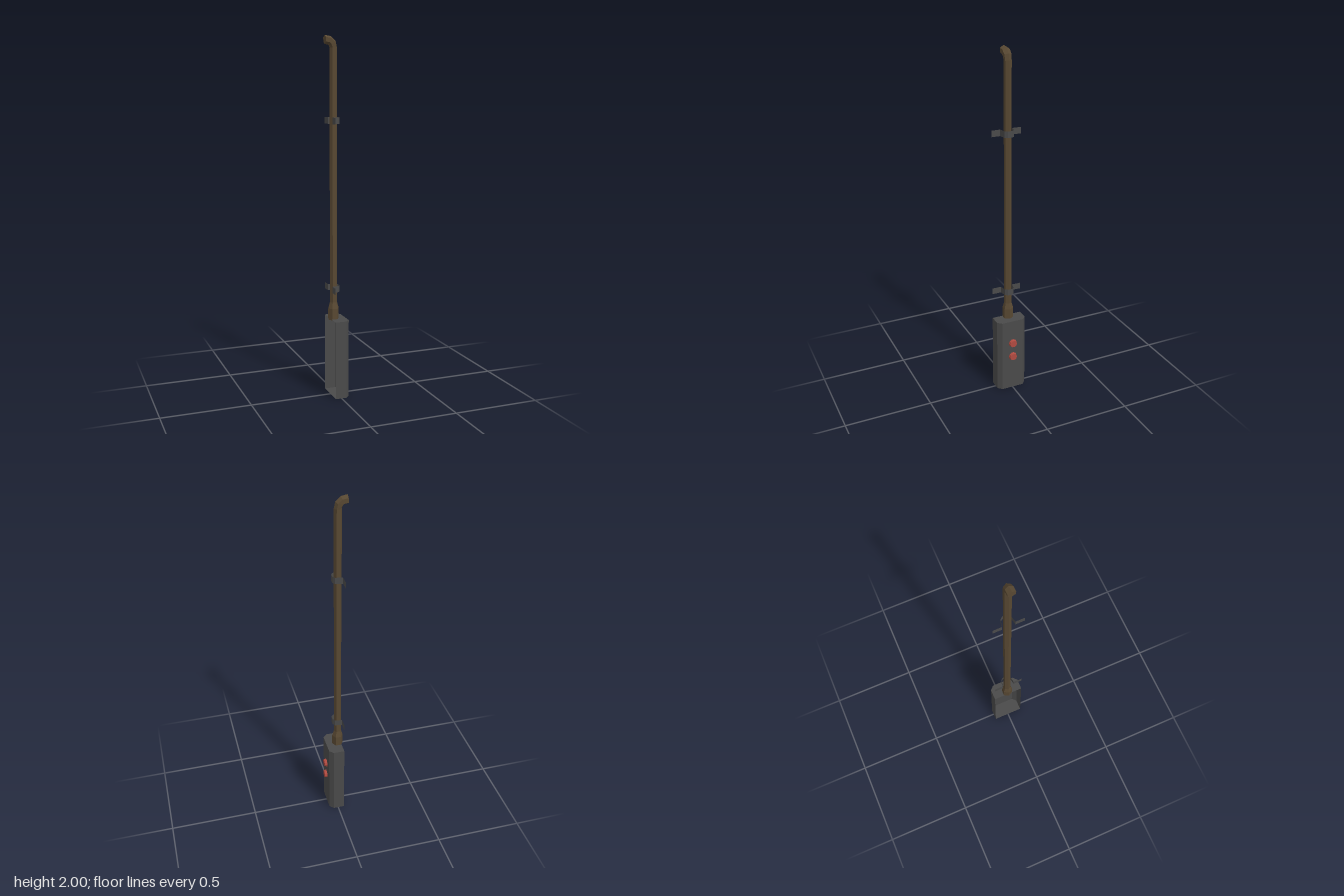
import * as THREE from 'three';

const D = THREE.DoubleSide;
const metal = new THREE.MeshStandardMaterial({ name: 'darkMetal', color: 0x4a4a4a, side: D, flatShading: true });
const brown = new THREE.MeshStandardMaterial({ name: 'brownPipe', color: 0x584832, side: D, flatShading: true });
const red = new THREE.MeshStandardMaterial({ name: 'redKnob', color: 0xb04a40, flatShading: true });

function fromFaces(pos, idx) {
  const g = new THREE.BufferGeometry();
  g.setAttribute('position', new THREE.Float32BufferAttribute(pos, 3));
  g.setIndex(idx);
  const flat = g.toNonIndexed();
  flat.computeVertexNormals();
  return flat;
}

// Upright sheet following [x, z] points, ordered from +z to -z round the +x side
function sheet(points, y0, y1) {
  const pos = [], idx = [];
  points.forEach(([x, z], i) => {
    pos.push(x, y0, z, x, y1, z);
    const a = i * 2;
    if (i < points.length - 1) idx.push(a, a + 2, a + 3, a, a + 3, a + 1);
  });
  return fromFaces(pos, idx);
}

// Six-sided tube through rings of [x, y, radius, tilt], tilt turning from up towards -x
function hexTube(rings) {
  const pos = [], idx = [], n = 6;
  rings.forEach(([x, y, r, tilt], k) => {
    for (let i = 0; i < n; i++) {
      const a = (i / n) * Math.PI * 2, out = r * Math.cos(a);
      pos.push(x + out * Math.cos(tilt), y + out * Math.sin(tilt), -r * Math.sin(a));
      if (k < rings.length - 1) {
        const p = k * n + i, q = k * n + (i + 1) % n;
        idx.push(p, q, q + n, p, q + n, p + n);
      }
    }
  });
  const e = (rings.length - 1) * n;
  for (let i = 1; i < n - 1; i++) idx.push(e, e + i, e + i + 1);
  return fromFaces(pos, idx);
}

export function createModel() {
  const model = new THREE.Group();
  const add = (name, geometry, material, parent = model) => {
    const mesh = new THREE.Mesh(geometry, material);
    mesh.name = name;
    parent.add(mesh);
    return mesh;
  };

  // Chamfered switch box, open at the wall side
  const box = new THREE.Group();
  box.name = 'switchBox';
  model.add(box);
  const outline = [[-0.036, 0.088], [0.027, 0.088], [0.05, 0.065], [0.05, -0.065], [0.027, -0.088], [-0.036, -0.088]];
  add('boxWalls', sheet(outline, 0, 0.445), metal, box);
  const plate = new THREE.ShapeGeometry(new THREE.Shape(outline.map(([x, z]) => new THREE.Vector2(x, -z))));
  plate.rotateX(-Math.PI / 2);
  add('boxTop', plate.clone().translate(0, 0.445, 0), metal, box);
  const under = plate.clone();
  under.setIndex([...plate.index.array].reverse());
  under.computeVertexNormals();
  add('boxBottom', under, metal, box);

  // Round knobs on the face of the box
  [0.302, 0.214].forEach((y, i) => {
    const knob = new THREE.CylinderGeometry(0.021, 0.025, 0.016, 10);
    knob.rotateZ(-Math.PI / 2);
    add(i ? 'lowerKnob' : 'upperKnob', knob, red).position.set(0.057, y, 0);
  });

  // Pipe with a flared foot and an elbow at the top
  add('pipe', hexTube([
    [-0.017, 0.44, 0.031, 0],
    [-0.017, 0.505, 0.031, 0],
    [-0.017, 0.54, 0.021, 0],
    [-0.017, 1.935, 0.021, 0],
    [-0.023, 1.957, 0.023, 0.55],
    [-0.04, 1.973, 0.024, 1.2],
    [-0.066, 1.977, 0.024, Math.PI / 2],
  ]), brown);

  // Sheet clamps that wrap the pipe, with flat wings against the wall
  const half = [[-0.036, 0.086], [-0.036, 0.035], [0.004, 0.027], [0.015, 0.012]];
  const strap = [...half, ...half.map(([x, z]) => [x, -z]).reverse()];
  [0.6, 1.531].forEach((y, i) => add(i ? 'upperClamp' : 'lowerClamp', sheet(strap, y, y + 0.036), metal));

  return model;
}
